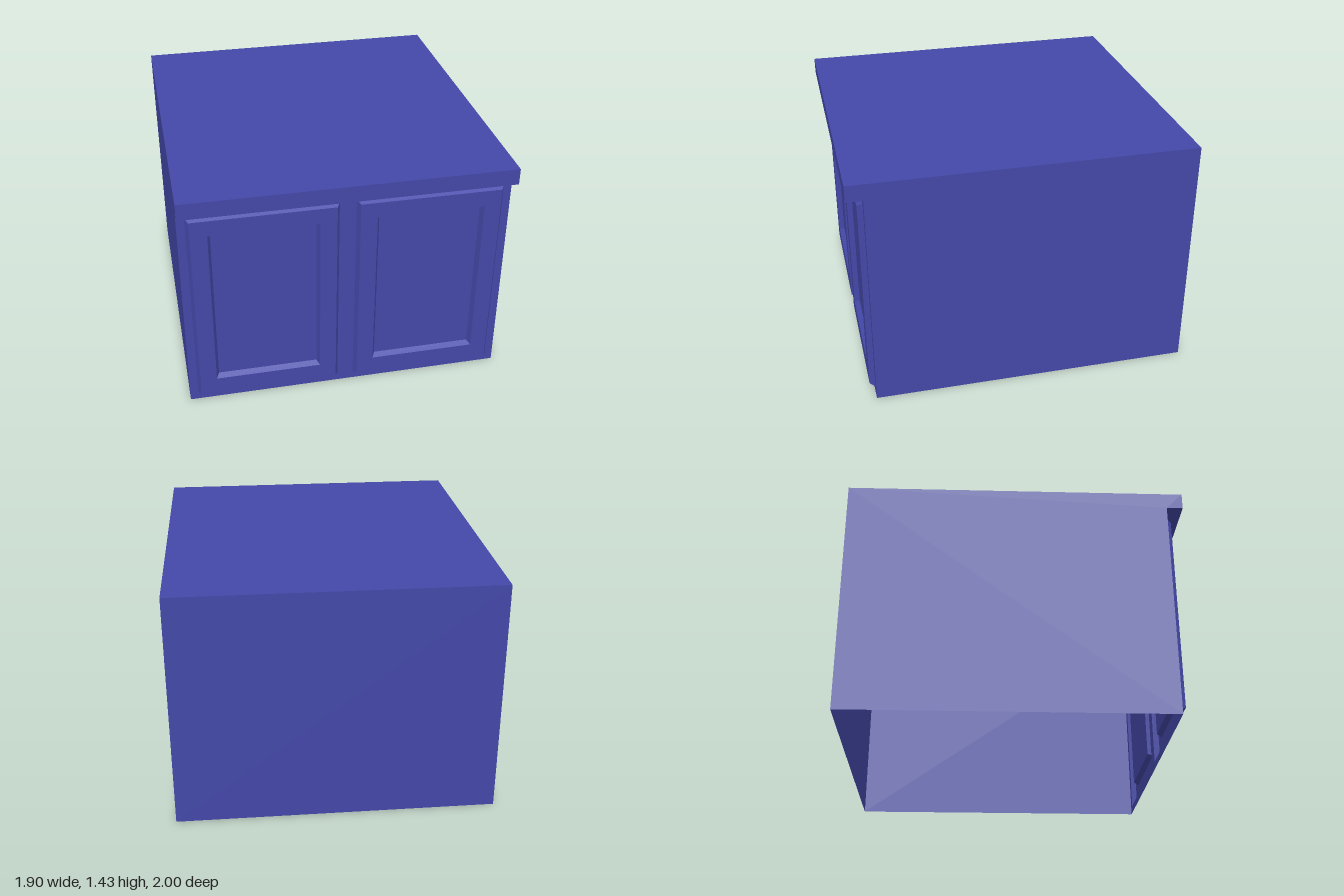
import * as THREE from 'three';

const material = new THREE.MeshStandardMaterial({ color: 0x4448a8, side: THREE.DoubleSide, flatShading: true });

const W = 0.95;       // half width
const WALL_Z = 0.904; // front wall plane
const FACE_Z = 0.936; // raised door frame plane
const LIP_Y = 1.333;  // underside of the counter edge
const TOP_Y = 1.43;

// Non-indexed geometry from a list of four-cornered faces
function quads(faces) {
  const points = faces.flatMap(([a, b, c, d]) => [a, b, c, a, c, d]);
  const geometry = new THREE.BufferGeometry();
  geometry.setAttribute('position', new THREE.Float32BufferAttribute(points.flat(), 3));
  geometry.computeVertexNormals();
  return geometry;
}

function part(group, name, geometry) {
  const mesh = new THREE.Mesh(geometry, material);
  mesh.name = name;
  group.add(mesh);
  return mesh;
}

// Rectangle corners, counter-clockwise from the front
const rect = (x0, x1, y0, y1, inset, z) => [
  [x0 + inset, y0 + inset, z], [x1 - inset, y0 + inset, z],
  [x1 - inset, y1 - inset, z], [x0 + inset, y1 - inset, z],
];

export function createModel() {
  const group = new THREE.Group();
  group.name = 'cabinet';

  // Profile as [z, y]: back, top, counter edge, underside of the overhang; the bottom stays open
  const profile = [[-1, 0], [-1, TOP_Y], [1, TOP_Y], [1, LIP_Y], [WALL_Z, LIP_Y]];
  const names = ['backPanel', 'counterTop', 'counterEdge', 'counterUnderside'];
  names.forEach((name, i) => {
    const [z0, y0] = profile[i], [z1, y1] = profile[i + 1];
    part(group, name, quads([[[W, y0, z0], [-W, y0, z0], [-W, y1, z1], [W, y1, z1]]]));
  });

  // Side panels with the overhang notch
  for (const s of [1, -1]) {
    const outline = [...profile, [WALL_Z, 0]].map(([z, y]) => new THREE.Vector2(-s * z, y));
    const side = new THREE.ShapeGeometry(new THREE.Shape(outline));
    side.rotateY(s * Math.PI / 2).translate(s * W, 0, 0);
    part(group, s > 0 ? 'leftSide' : 'rightSide', side);
  }

  // Front wall with an opening behind each door
  const wall = new THREE.Shape(rect(-W, W, 0, LIP_Y, 0, 0).map(([x, y]) => new THREE.Vector2(x, y)));
  const doors = [['leftDoor', 0.048, 0.903], ['rightDoor', -0.903, -0.048]];
  const D0 = 0.048, D1 = 1.288;
  for (const [name, x0, x1] of doors) {
    wall.holes.push(new THREE.Path(rect(x0, x1, D0, D1, 0, 0).map(([x, y]) => new THREE.Vector2(x, y))));

    // Door: bevelled raised frame, then a bevelled recess
    const rings = [[0, WALL_Z], [0.018, FACE_Z], [0.115, FACE_Z], [0.132, WALL_Z]]
      .map(([inset, z]) => rect(x0, x1, D0, D1, inset, z));
    const faces = [rings[3]];
    for (let r = 0; r < 3; r++) {
      for (let i = 0; i < 4; i++) {
        const j = (i + 1) % 4;
        faces.push([rings[r][i], rings[r][j], rings[r + 1][j], rings[r + 1][i]]);
      }
    }
    part(group, name, quads(faces));
  }
  part(group, 'frontWall', new THREE.ShapeGeometry(wall).translate(0, 0, WALL_Z));

  return group;
}
